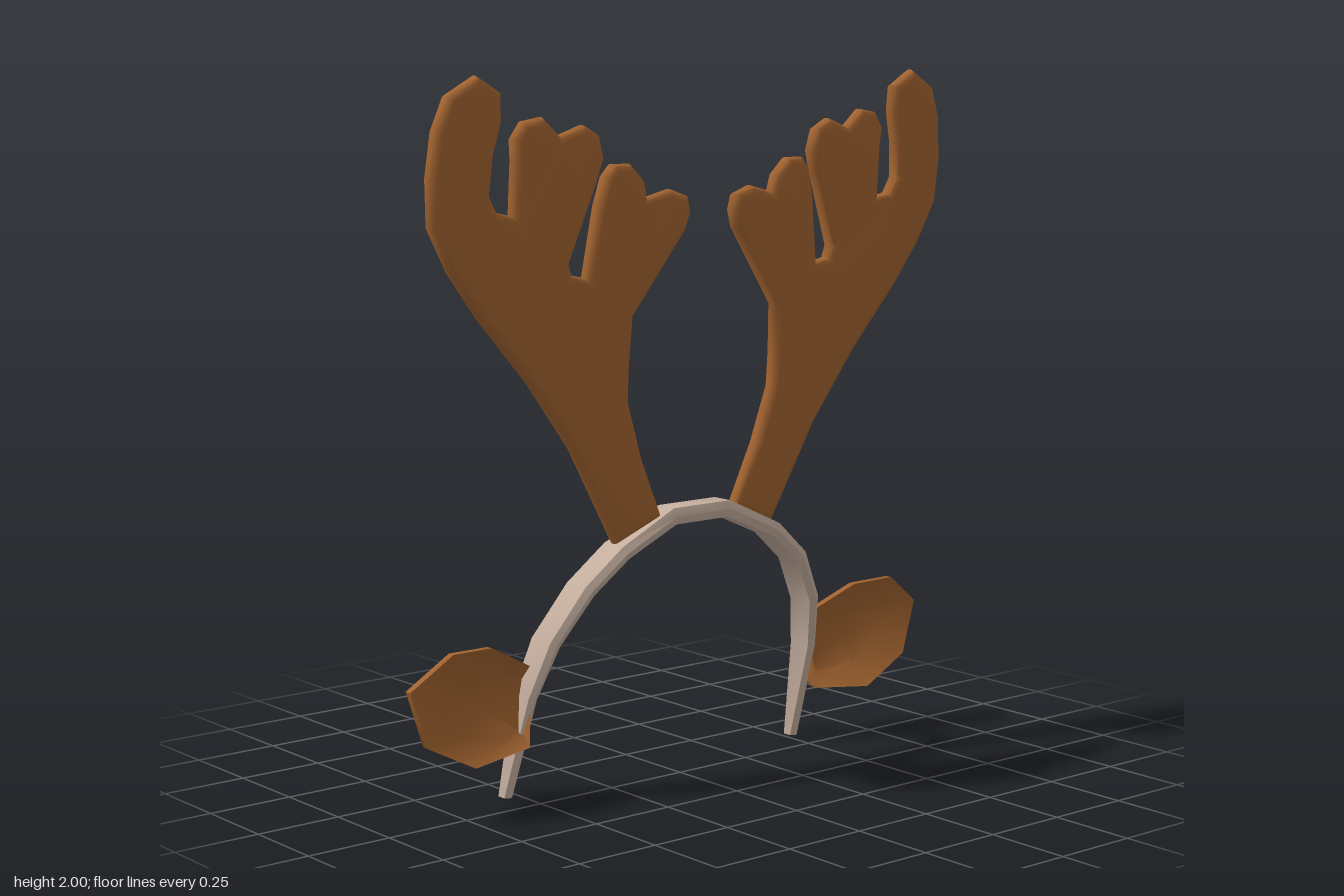
import * as THREE from 'three';
import { toCreasedNormals } from 'three/addons/utils/BufferGeometryUtils.js';

const brown = new THREE.MeshStandardMaterial({ color: 0xa0622f });
brown.name = 'antler brown';
const beige = new THREE.MeshStandardMaterial({ color: 0xc4ae9e });
beige.name = 'band beige';

// Skin a list of equal-length rings of [x, y, z]; a single-point ring closes an end.
function loft(rings, crease) {
  const n = Math.max(...rings.map((r) => r.length));
  const at = (r, i) => r[i % r.length];
  const pos = [];
  for (let k = 0; k < rings.length - 1; k++) {
    const a = rings[k], b = rings[k + 1];
    for (let i = 0; i < n; i++) {
      const j = (i + 1) % n;
      if (b.length > 1) pos.push(...at(a, i), ...at(b, j), ...at(b, i));
      if (a.length > 1) pos.push(...at(a, i), ...at(a, j), ...at(b, j));
    }
  }
  const geo = new THREE.BufferGeometry();
  geo.setAttribute('position', new THREE.Float32BufferAttribute(pos, 3));
  return toCreasedNormals(geo, crease);
}

// Arched band, swept from one end over the top to the other
function headband() {
  // outer x, outer y, inner x, inner y, front z, back z
  const half = [
    [0.548, 0, 0.52, 0, -0.095, -0.143],
    [0.532, 0.297, 0.503, 0.293, 0, -0.095],
    [0.495, 0.46, 0.462, 0.445, 0.053, -0.053],
    [0.405, 0.61, 0.375, 0.583, 0.095, -0.01],
    [0.288, 0.71, 0.265, 0.675, 0.112, 0.008],
    [0.103, 0.797, 0.093, 0.75, 0.108, 0.02],
  ];
  const ring = ([ox, oy, ix, iy, zf, zb], s) => {
    const mx = (ox + ix) / 2 * s, my = (oy + iy) / 2, c = 0.01;
    return [
      [ox * s, oy, zb + c], [ox * s, oy, zf - c], [mx, my, zf],
      [ix * s, iy, zf - c], [ix * s, iy, zb + c], [mx, my, zb],
    ];
  };
  const end = (s) => [[0.534 * s, 0, -0.119]];
  const rings = [
    end(-1),
    ...half.map((h) => ring(h, -1)),
    ...half.slice().reverse().map((h) => ring(h, 1)),
    end(1),
  ];
  return loft(rings, 0.8);
}

// Outline of the antler on the +x side
const antlerOutline = [
  [0.283, 0.71], [0.44, 0.99], [0.59, 1.19], [0.75, 1.37], [0.84, 1.49],
  [0.905, 1.61], [0.913, 1.74], [0.9, 1.86], [0.865, 1.95], [0.778, 2.0],
  [0.703, 1.955], [0.7, 1.88], [0.722, 1.79], [0.73, 1.69], [0.705, 1.645],
  [0.655, 1.634], [0.655, 1.78], [0.66, 1.835], [0.63, 1.88], [0.57, 1.89],
  [0.515, 1.84], [0.44, 1.867], [0.39, 1.84], [0.373, 1.777], [0.39, 1.72],
  [0.473, 1.5], [0.463, 1.468], [0.415, 1.458], [0.387, 1.65], [0.365, 1.73],
  [0.34, 1.76], [0.283, 1.76], [0.237, 1.715], [0.225, 1.666], [0.145, 1.687],
  [0.087, 1.666], [0.077, 1.62], [0.093, 1.57], [0.257, 1.345], [0.263, 1.21],
  [0.262, 1.11], [0.21, 0.95], [0.133, 0.775],
];

// Padded flat antler that leans forward and turns its inner edge to the front
function antler(side) {
  const shape = new THREE.Shape(antlerOutline.map(([x, y]) => new THREE.Vector2(x * side, y)));
  const depth = 0.014;
  const geo = new THREE.ExtrudeGeometry(shape, {
    depth, bevelEnabled: true, bevelThickness: 0.017, bevelSize: 0.02,
    bevelOffset: -0.02, bevelSegments: 2,
  });
  geo.translate(0, 0, -depth / 2);
  const p = geo.attributes.position;
  for (let i = 0; i < p.count; i++) {
    p.setZ(i, p.getZ(i) + 0.021 + 0.066 * p.getY(i) - 0.0525 * Math.abs(p.getX(i)));
  }
  return toCreasedNormals(geo, 0.9);
}

// Cupped ear: hollow front, folded rim, rounded back
function ear(side) {
  const rim = [
    [0.51, 0.385, -0.03], [0.67, 0.467, 0.015], [0.807, 0.472, 0.03], [0.93, 0.382, 0.005],
    [0.88, 0.223, 0.01], [0.727, 0.143, 0.015], [0.535, 0.165, 0],
  ];
  const back = [
    [0.515, 0.345, -0.09], [0.65, 0.365, -0.092], [0.74, 0.36, -0.092], [0.81, 0.325, -0.07],
    [0.79, 0.25, -0.07], [0.72, 0.21, -0.085], [0.53, 0.2, -0.085],
  ];
  const shift = (ring, dz) => ring.map(([x, y, z]) => [x, y, z + dz]);
  const rings = [
    [[0.67, 0.29, -0.06]], shift(back, 0.035), rim,
    shift(rim, -0.022), back, [[0.67, 0.28, -0.094]],
  ].map((r) => {
    const m = r.map(([x, y, z]) => [x * side, y, z]);
    return side < 0 ? m.reverse() : m;
  });
  return loft(rings, 0.9);
}

export function createModel() {
  const model = new THREE.Group();
  model.name = 'antlerHeadband';
  const add = (name, geo, mat) => {
    const mesh = new THREE.Mesh(geo, mat);
    mesh.name = name;
    model.add(mesh);
  };
  add('headband', headband(), beige);
  for (const [name, side] of [['left', 1], ['right', -1]]) {
    add(name + 'Antler', antler(side), brown);
    add(name + 'Ear', ear(side), brown);
  }
  return model;
}
